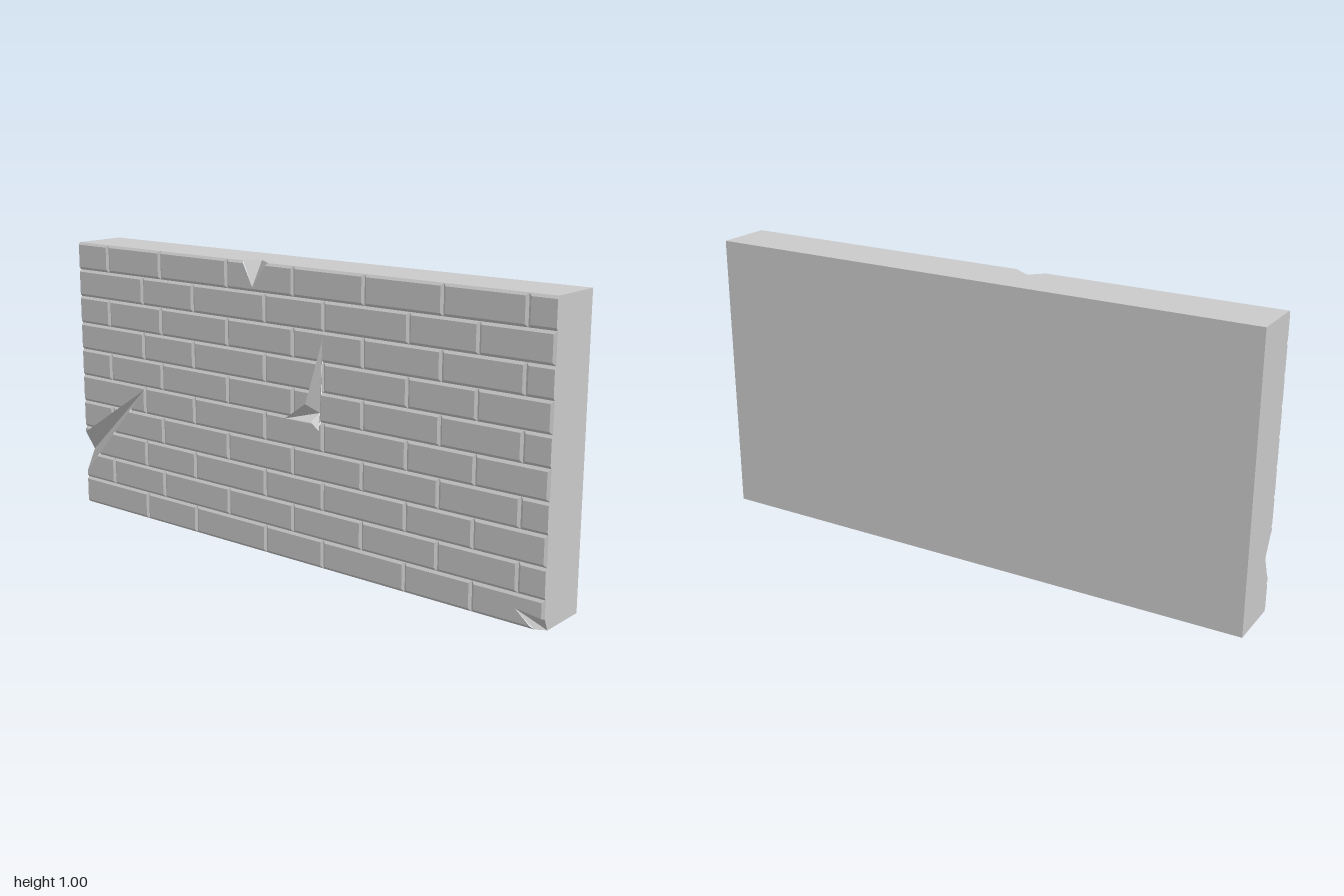
import * as THREE from 'three';

const FRONT = 0.1, BACK = -0.1, JOINT = 0.094, BEVEL = 0.009, ROW = 0.1;

// Vertical joints of the two alternating brick courses
const COURSES = [
  [-1, -0.668, -0.418, -0.087, 0.163, 0.495, 0.746, 1],
  [-1, -0.845, -0.577, -0.257, 0.035, 0.323, 0.617, 0.906, 1],
];

// Chipped areas: a deep point and the rim that fans round it, anticlockwise
const CHIPS = [
  { name: 'leftCrack', deep: [-1, 0.203, 0.06],
    rim: [[-1, 0.123, FRONT], [-0.67, 0.49, FRONT], [-1, 0.278, FRONT]] },
  { name: 'topChip', deep: [-0.14, 1, 0.05],
    rim: [[-0.185, 1, JOINT], [-0.14, 0.915, FRONT], [-0.075, 1, JOINT]] },
  { name: 'cornerChip', deep: [1, 0, 0.075],
    rim: [[1, 0.04, JOINT], [0.9, 0.053, FRONT], [0.965, 0, JOINT]] },
  { name: 'centreCrack', deep: [0.118, 0.52, 0.06],
    rim: [[0.16, 0.775, FRONT], [0.088, 0.552, FRONT], [0, 0.49, FRONT], [0.112, 0.495, FRONT],
      [0.147, 0.47, FRONT], [0.153, 0.525, FRONT], [0.16, 0.775, FRONT]] },
];

const chipFacets = ({ deep, rim }) => rim.slice(1).map((p, i) => [deep, rim[i], p]);

// Split a convex polygon by the line a-b, seen from the front
function split(poly, a, b) {
  const side = (p) => (b[0] - a[0]) * (p[1] - a[1]) - (b[1] - a[1]) * (p[0] - a[0]);
  const inside = [], outside = [];
  let reach = 0;
  poly.forEach((p, i) => {
    const q = poly[(i + 1) % poly.length], sp = side(p), sq = side(q);
    reach = Math.min(reach, sp);
    if (sp >= 0) inside.push(p);
    if (sp <= 0) outside.push(p);
    if (sp * sq < 0) {
      const cut = p.map((v, k) => v + (q[k] - v) * sp / (sp - sq));
      inside.push(cut);
      outside.push(cut);
    }
  });
  return reach > -1e-9 ? [poly, []] : [inside, outside];
}

// Remove the outline of a triangle from a list of convex polygons
function subtract(polys, tri) {
  const kept = [];
  for (let poly of polys) {
    const pieces = [];
    for (let i = 0; i < 3 && poly.length > 2; i++) {
      const [inside, outside] = split(poly, tri[i], tri[(i + 1) % 3]);
      if (outside.length > 2) pieces.push(outside);
      poly = inside;
    }
    // Leave polygons whole when the triangle misses them
    if (poly.length > 2) kept.push(...pieces);
    else kept.push(...pieces);
  }
  return kept;
}

function meshFrom(name, polys, material) {
  const positions = [];
  for (const p of polys) {
    for (let i = 1; i < p.length - 1; i++) positions.push(...p[0], ...p[i], ...p[i + 1]);
  }
  const geometry = new THREE.BufferGeometry();
  geometry.setAttribute('position', new THREE.Float32BufferAttribute(positions, 3));
  geometry.computeVertexNormals();
  const mesh = new THREE.Mesh(geometry, material);
  mesh.name = name;
  return mesh;
}

// One bevelled brick face with its four sloping edges
function brick(x0, x1, y0, y1, insetLeft, insetRight) {
  const base = [[x0, y0], [x1, y0], [x1, y1], [x0, y1]].map((p) => [...p, JOINT]);
  const l = x0 + insetLeft, r = x1 - insetRight, b = y0 + BEVEL, t = y1 - BEVEL;
  const top = [[l, b], [r, b], [r, t], [l, t]].map((p) => [...p, FRONT]);
  const edges = base.map((p, i) => {
    const j = (i + 1) % 4;
    return [p, base[j], top[j], top[i]];
  });
  return [top, ...edges];
}

// Flat side of the wall from a 2D outline, turned to face along the normal
function panel(outline, place, normal) {
  const points = outline.map((p) => new THREE.Vector2(...p));
  return THREE.ShapeUtils.triangulateShape(points, []).map((face) => {
    const tri = face.map((i) => place(...outline[i]));
    const [a, b, c] = tri.map((p) => new THREE.Vector3(...p));
    const facing = b.sub(a).cross(c.sub(a)).dot(new THREE.Vector3(...normal));
    return facing < 0 ? tri.reverse() : tri;
  });
}

export function createModel() {
  const group = new THREE.Group();
  group.name = 'brickWall';
  const material = new THREE.MeshStandardMaterial({ color: 0xcccccc, flatShading: true });

  // Brick courses, cut away where the wall is chipped
  const facets = CHIPS.flatMap(chipFacets);
  for (let row = 0; row < 10; row++) {
    const joints = COURSES[row % 2];
    let polys = [];
    for (let i = 0; i < joints.length - 1; i++) {
      const last = i === joints.length - 2;
      polys.push(...brick(joints[i], joints[i + 1], row * ROW, (row + 1) * ROW,
        i === 0 ? 0 : BEVEL, last && row % 2 ? 0 : BEVEL));
    }
    for (const facet of facets) polys = subtract(polys, facet);
    group.add(meshFrom(`brickCourse${row + 1}`, polys, material));
  }

  // Sloping faces inside the chips
  for (const chip of CHIPS) group.add(meshFrom(chip.name, chipFacets(chip), material));

  // Back and sides, notched where chips reach the edge
  const J = JOINT;
  const body = [
    ...panel([[-1, 0], [1, 0], [1, 1], [-1, 1]], (x, y) => [x, y, BACK], [0, 0, -1]),
    ...panel([[-1, BACK], [1, BACK], [1, J], [-0.075, J], [-0.14, 0.05], [-0.185, J], [-1, J]],
      (x, z) => [x, 1, z], [0, 1, 0]),
    ...panel([[-1, BACK], [1, BACK], [1, 0.075], [0.965, J], [-1, J]],
      (x, z) => [x, 0, z], [0, -1, 0]),
    ...panel([[BACK, 0], [J, 0], [J, 0.123], [0.06, 0.203], [J, 0.278], [J, 1], [BACK, 1]],
      (z, y) => [-1, y, z], [-1, 0, 0]),
    ...panel([[BACK, 0], [0.075, 0], [J, 0.04], [J, 1], [BACK, 1]],
      (z, y) => [1, y, z], [1, 0, 0]),
  ];
  group.add(meshFrom('wallBody', body, material));
  return group;
}
